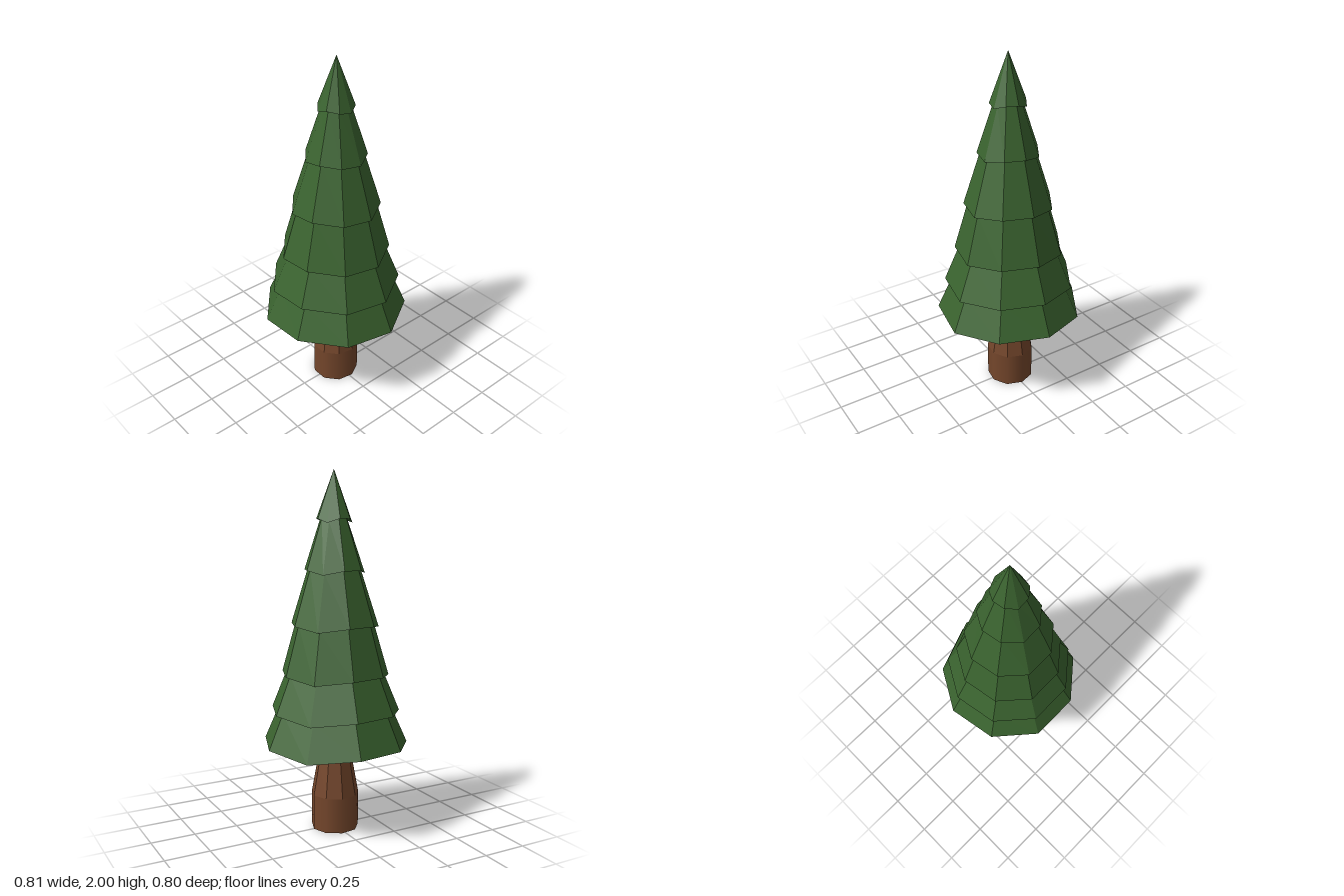
import * as THREE from 'three';

const SIDES = 9;
const lathe = (pts) => new THREE.LatheGeometry(pts.map(([r, y]) => new THREE.Vector2(r, y)), SIDES, Math.PI);

// Small height change of each corner, starting at the back and going round by the right side
const WAVE = [0.01, -0.01, 0.012, 0.01, -0.01, 0.01, 0, -0.01, 0.01];

// Tiers: rim radius, rim height, radius where the tier slips under the next one
const TIERS = [
  [0.411, 0.49, 0.325],
  [0.365, 0.678, 0.277],
  [0.303, 0.885, 0.222],
  [0.246, 1.158, 0.149],
  [0.168, 1.455, 0.075],
  [0.099, 1.728, 0],
];

function foliageGeometry() {
  // hollow underside, then rim and slope of each tier
  const profile = [[0, 0.575], [0.33, 0.575]];
  TIERS.forEach(([rim, y, top], i) => {
    const next = TIERS[i + 1];
    profile.push([rim, y], [top, next ? next[1] + 0.008 : 2]);
  });
  const geo = lathe(profile);

  // wavy rims and a slight lean of the crown
  const pos = geo.attributes.position;
  const rows = profile.length;
  for (let i = 0; i < pos.count; i++) {
    const row = i % rows;
    const corner = Math.floor(i / rows) % SIDES;
    const t = (pos.getY(i) - 0.49) / 1.51;
    pos.setX(i, pos.getX(i) + 0.008 * t);
    pos.setZ(i, pos.getZ(i) + 0.011 - 0.007 * t);
    if (row > 1 && row < rows - 1) pos.setY(i, pos.getY(i) + WAVE[corner]);
  }
  geo.computeVertexNormals();
  return geo;
}

export function createModel() {
  const tree = new THREE.Group();
  tree.name = 'pineTree';
  const green = new THREE.MeshStandardMaterial({ color: 0x3a632f, flatShading: true });
  const bark = new THREE.MeshStandardMaterial({ color: 0x74462b });
  const flatBark = new THREE.MeshStandardMaterial({ color: 0x74462b, flatShading: true });

  const add = (name, geo, mat) => {
    const mesh = new THREE.Mesh(geo, mat);
    mesh.name = name;
    tree.add(mesh);
    return mesh;
  };

  // Trunk: smooth foot, faceted waist flaring into the crown
  const foot = add('trunkFoot', new THREE.CylinderGeometry(0.134, 0.134, 0.2, SIDES, 1, false, Math.PI), bark);
  foot.position.set(-0.004, 0.1, 0.004);
  const waist = add('trunkWaist', lathe([[0.134, 0.2], [0.098, 0.4], [0.125, 0.58]]), flatBark);
  waist.position.set(-0.004, 0, 0.004);

  add('foliage', foliageGeometry(), green);
  return tree;
}
